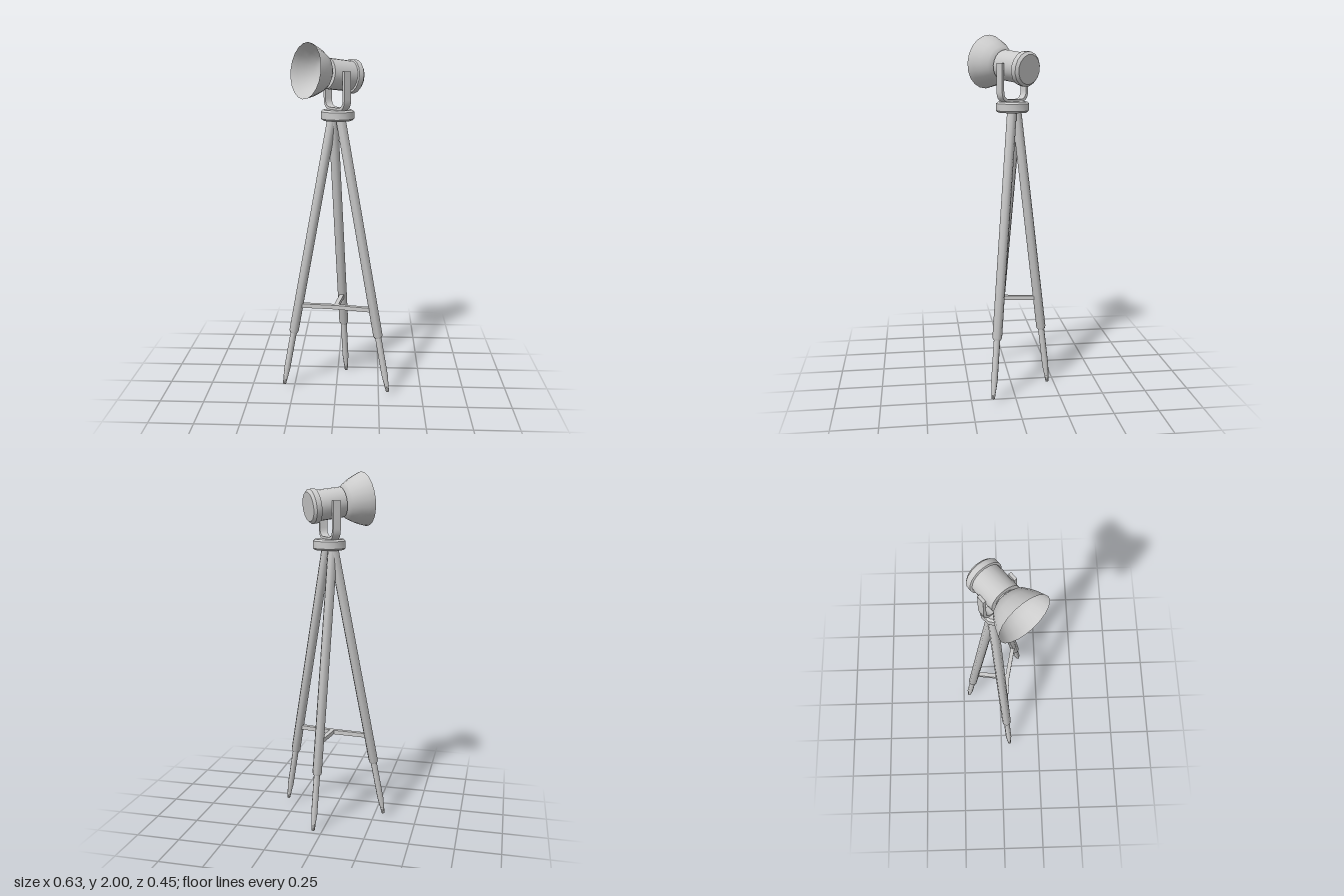
import * as THREE from 'three';
import { toCreasedNormals } from 'three/addons/utils/BufferGeometryUtils.js';

const material = new THREE.MeshStandardMaterial({ color: 0xcccccc });
const openMaterial = new THREE.MeshStandardMaterial({ color: 0xcccccc, side: THREE.DoubleSide });
const UP = new THREE.Vector3(0, 1, 0);
const V = (x, y, z) => new THREE.Vector3(x, y, z);

function part(name, geometry, mat = material, crease = 0.7) {
  const mesh = new THREE.Mesh(toCreasedNormals(geometry, crease), mat);
  mesh.name = name;
  return mesh;
}

// Turned part from [radius, height] pairs, bottom to top
function turned(name, profile, sides, mat) {
  const points = profile.map(([r, y]) => new THREE.Vector2(r, y));
  return part(name, new THREE.LatheGeometry(points, sides), mat, sides < 10 ? 0.9 : 0.6);
}

// Telescopic leg: thick upper tube, thinner lower rod with a tapered tip
function makeLeg(name, foot, top, kneeHeight) {
  const axis = top.clone().sub(foot);
  const length = axis.length();
  const knee = length * (kneeHeight - foot.y) / axis.y;
  const leg = new THREE.Group();
  leg.name = name;
  leg.add(
    turned('upperLeg', [[0, knee], [0.022, knee], [0.027, knee + 0.012], [0.027, length], [0, length]], 8),
    turned('lowerLeg', [[0, 0], [0.009, 0], [0.018, 0.1], [0.018, knee + 0.02]], 8)
  );
  leg.position.copy(foot);
  leg.quaternion.setFromUnitVectors(UP, axis.normalize());
  return leg;
}

// Flat bar between two points
function makeBar(name, a, b, width, height) {
  const bar = part(name, new THREE.BoxGeometry(width, height, a.distanceTo(b)));
  bar.position.copy(a).lerp(b, 0.5);
  bar.lookAt(b);
  return bar;
}

// U-shaped bracket with rounded lower corners
function makeYoke() {
  const w = 0.1, h = 0.212, t = 0.016, r = 0.062;
  const s = new THREE.Shape();
  s.moveTo(-w, h);
  s.lineTo(-w, r);
  s.quadraticCurveTo(-w, 0, -w + r, 0);
  s.lineTo(w - r, 0);
  s.quadraticCurveTo(w, 0, w, r);
  s.lineTo(w, h);
  s.lineTo(w - t, h);
  s.lineTo(w - t, r);
  s.quadraticCurveTo(w - t, t, w - r, t);
  s.lineTo(-w + r, t);
  s.quadraticCurveTo(-w + t, t, -w + t, r);
  s.lineTo(-w + t, h);
  s.closePath();
  const geometry = new THREE.ExtrudeGeometry(s, { depth: 0.044, bevelEnabled: false, curveSegments: 5 });
  geometry.translate(0, 0, -0.022);
  return part('yoke', geometry);
}

// Lamp turned about its own axis, +y being the beam direction
function makeLamp() {
  const lamp = new THREE.Group();
  lamp.name = 'lamp';
  lamp.add(
    turned('shade', [[0, 0.067], [0.045, 0.067], [0.076, 0.075], [0.097, 0.09],
      [0.121, 0.13], [0.137, 0.166], [0.149, 0.2]], 20, openMaterial),
    turned('neck', [[0.06, 0.055], [0.06, 0.07]], 16),
    turned('body', [[0, -0.09], [0.083, -0.09], [0.083, 0.063], [0, 0.063]], 20),
    turned('backCap', [[0, -0.132], [0.08, -0.132], [0.094, -0.118], [0.094, -0.088], [0.08, -0.084], [0, -0.084]], 16)
  );
  return lamp;
}

export function createModel() {
  const model = new THREE.Group();
  model.name = 'tripodLamp';

  // Tripod legs
  const legs = [
    { name: 'rightLeg', foot: V(-0.307, 0.026, 0.054), top: V(-0.025, 1.59, -0.04), knee: 0.345 },
    { name: 'leftLeg', foot: V(0.302, 0.028, 0.133), top: V(0.022, 1.59, -0.008), knee: 0.35 },
    { name: 'backLeg', foot: V(0.052, 0, -0.214), top: V(-0.02, 1.59, -0.038), knee: 0.325 }
  ];
  const braceY = 0.512;
  const hub = V(0, braceY, 0.045);
  for (const { name, foot, top, knee } of legs) {
    model.add(makeLeg(name, foot, top, knee));
    // Spreader arm from the hub to this leg
    const end = foot.clone().lerp(top, (braceY - foot.y) / (top.y - foot.y));
    model.add(makeBar('spreaderArm', hub, end, 0.025, 0.024));
  }

  // Tripod head
  const head = turned('tripodHead', [[0, 1.578], [0.08, 1.578], [0.092, 1.588],
    [0.092, 1.627], [0.08, 1.637], [0, 1.637]], 12);
  head.position.set(0.005, 0, -0.013);

  // Yoke, turned to carry the lamp
  const yoke = makeYoke();
  yoke.position.set(0.003, 1.633, -0.013);
  yoke.rotation.y = -0.927;

  // Lamp, tipped slightly upward
  const lamp = makeLamp();
  lamp.position.set(-0.002, 1.826, -0.012);
  lamp.quaternion.setFromUnitVectors(UP, V(-0.8, 0.12, 0.6).normalize());

  model.add(head, yoke, lamp);
  return model;
}
